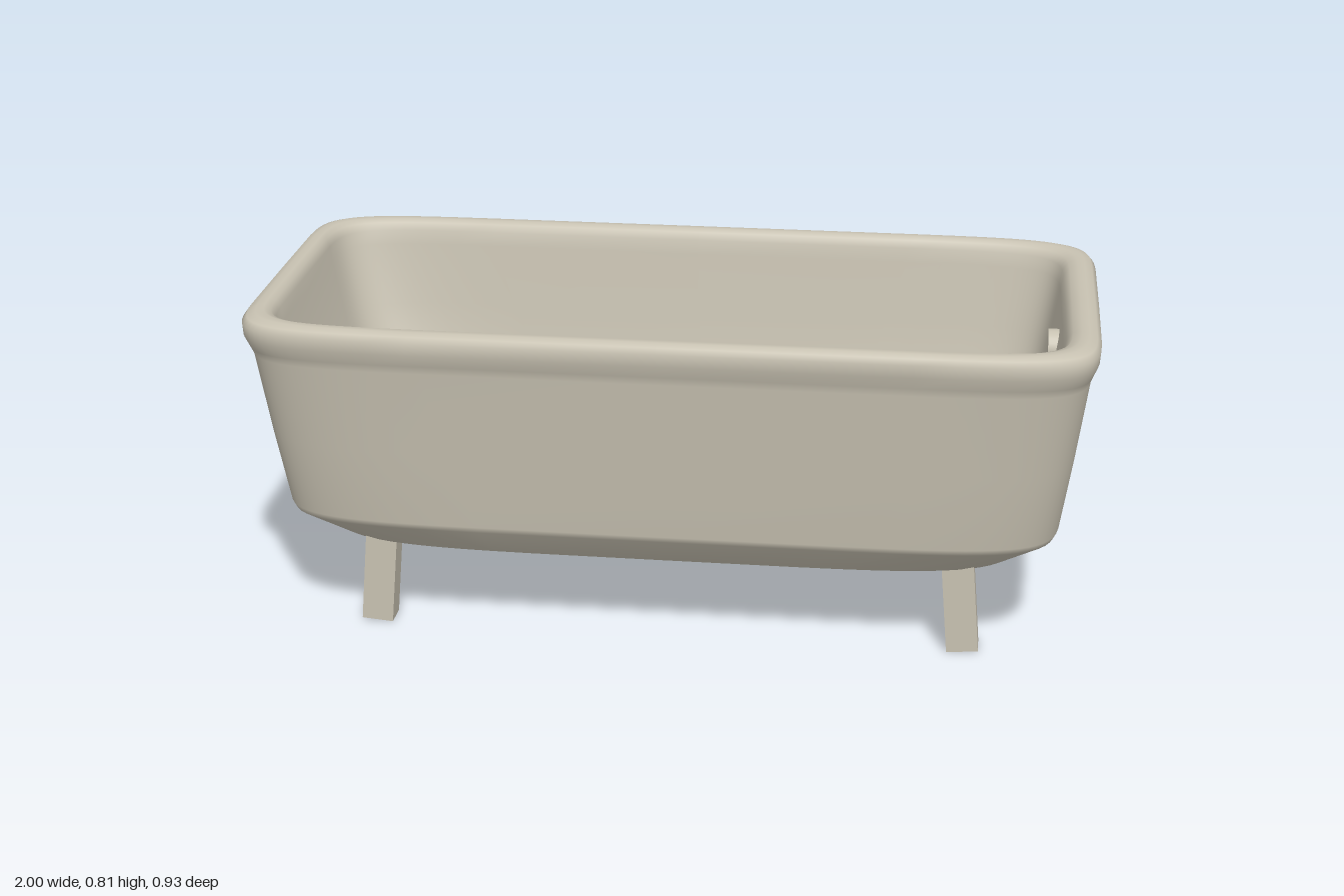
import * as THREE from 'three';

const enamel = new THREE.MeshStandardMaterial({ color: 0xc8c2b2 });
enamel.name = 'warm grey enamel';
const bronze = new THREE.MeshStandardMaterial({ color: 0x5c3825 });
bronze.name = 'dark bronze';

const SEGMENTS = 72;

// Superellipse point; a section is [y, centreX, halfX, halfZ, exponent]
function sectionPoint([y, cx, hx, hz, n], i) {
  const t = (i / SEGMENTS) * Math.PI * 2;
  const bend = v => (Math.abs(v) < 1e-9 ? 0 : Math.sign(v) * Math.abs(v) ** (2 / n));
  return new THREE.Vector3(cx + hx * bend(Math.cos(t)), y, hz * bend(Math.sin(t)));
}

// Smooth skin through the sections
function loft(sections) {
  const positions = [], index = [];
  sections.forEach((s, j) => {
    for (let i = 0; i < SEGMENTS; i++) {
      positions.push(...sectionPoint(s, i).toArray());
      if (j === sections.length - 1) continue;
      const k = (i + 1) % SEGMENTS, a = j * SEGMENTS, b = a + SEGMENTS;
      index.push(a + i, b + i, a + k, a + k, b + i, b + k);
    }
  });
  const g = new THREE.BufferGeometry();
  g.setAttribute('position', new THREE.Float32BufferAttribute(positions, 3));
  g.setIndex(index);
  g.computeVertexNormals();
  return g;
}

// Flat plate filling one section, facing up or down
function plate(section, up) {
  const pts = [];
  for (let i = 0; i < SEGMENTS; i++) {
    const p = sectionPoint(section, i);
    pts.push(new THREE.Vector2(p.x, p.z));
  }
  const g = new THREE.ShapeGeometry(new THREE.Shape(pts));
  g.rotateX(up ? -Math.PI / 2 : Math.PI / 2);
  g.translate(0, section[0], 0);
  return g;
}

export function createModel() {
  const model = new THREE.Group();
  model.name = 'bathtub';
  const add = (name, geometry, material = enamel) => {
    const mesh = new THREE.Mesh(geometry, material);
    mesh.name = name;
    model.add(mesh);
    return mesh;
  };

  // Outer wall, rolled rim and sloping inner wall in one skin
  const sections = [
    [0.22, 0, 0.835, 0.335, 5],
    [0.295, 0, 0.925, 0.397, 6.5],
    [0.31, 0, 0.932, 0.402, 6.5],
    [0.5, 0, 0.957, 0.425, 7.5],
    [0.71, 0, 0.982, 0.449, 8.5],
    [0.73, 0, 0.987, 0.454, 9],
    [0.76, 0, 0.998, 0.466, 9],
    [0.79, 0, 1.0, 0.467, 9],
    [0.803, 0, 0.99, 0.458, 9],
    [0.81, 0, 0.972, 0.442, 9],
    [0.81, 0, 0.955, 0.425, 9],
    [0.803, -0.003, 0.938, 0.41, 9],
    [0.785, -0.005, 0.926, 0.401, 9],
    [0.75, -0.006, 0.921, 0.396, 9],
    [0.6, 0, 0.89, 0.376, 8],
    [0.45, 0.012, 0.853, 0.353, 7],
    [0.36, 0.025, 0.81, 0.328, 6],
    [0.3, 0.06, 0.735, 0.293, 5],
    [0.265, 0.1, 0.645, 0.25, 4.5],
    [0.25, 0.13, 0.58, 0.225, 4],
  ];
  add('tubShell', loft(sections));
  add('tubUnderside', plate(sections[0], false));
  add('tubFloor', plate(sections[sections.length - 1], true));

  // Drain ring set on the floor
  const ring = new THREE.Shape().absarc(0, 0, 0.08, 0, Math.PI * 2);
  ring.holes.push(new THREE.Path().absarc(0, 0, 0.042, 0, Math.PI * 2, true));
  const drain = add('drainRing',
    new THREE.ExtrudeGeometry(ring, { depth: 0.008, bevelEnabled: false, curveSegments: 24 }), bronze);
  drain.rotation.x = -Math.PI / 2;
  drain.position.set(0.53, 0.25, 0);

  // Overflow disc on the inside of the left end
  const overflow = add('overflowDisc', new THREE.CylinderGeometry(0.044, 0.044, 0.03, 24));
  overflow.rotation.z = Math.PI / 2;
  overflow.position.set(0.9, 0.68, 0);

  // Four splayed square legs
  for (const sx of [-1, 1]) {
    for (const sz of [-1, 1]) {
      const leg = add((sz > 0 ? 'front' : 'back') + (sx > 0 ? 'Left' : 'Right') + 'Leg',
        new THREE.BoxGeometry(0.076, 0.235, 0.066));
      leg.position.set(sx * 0.705, 0.1205, sz * 0.267);
      leg.rotation.z = sx * 0.085;
    }
  }
  return model;
}
